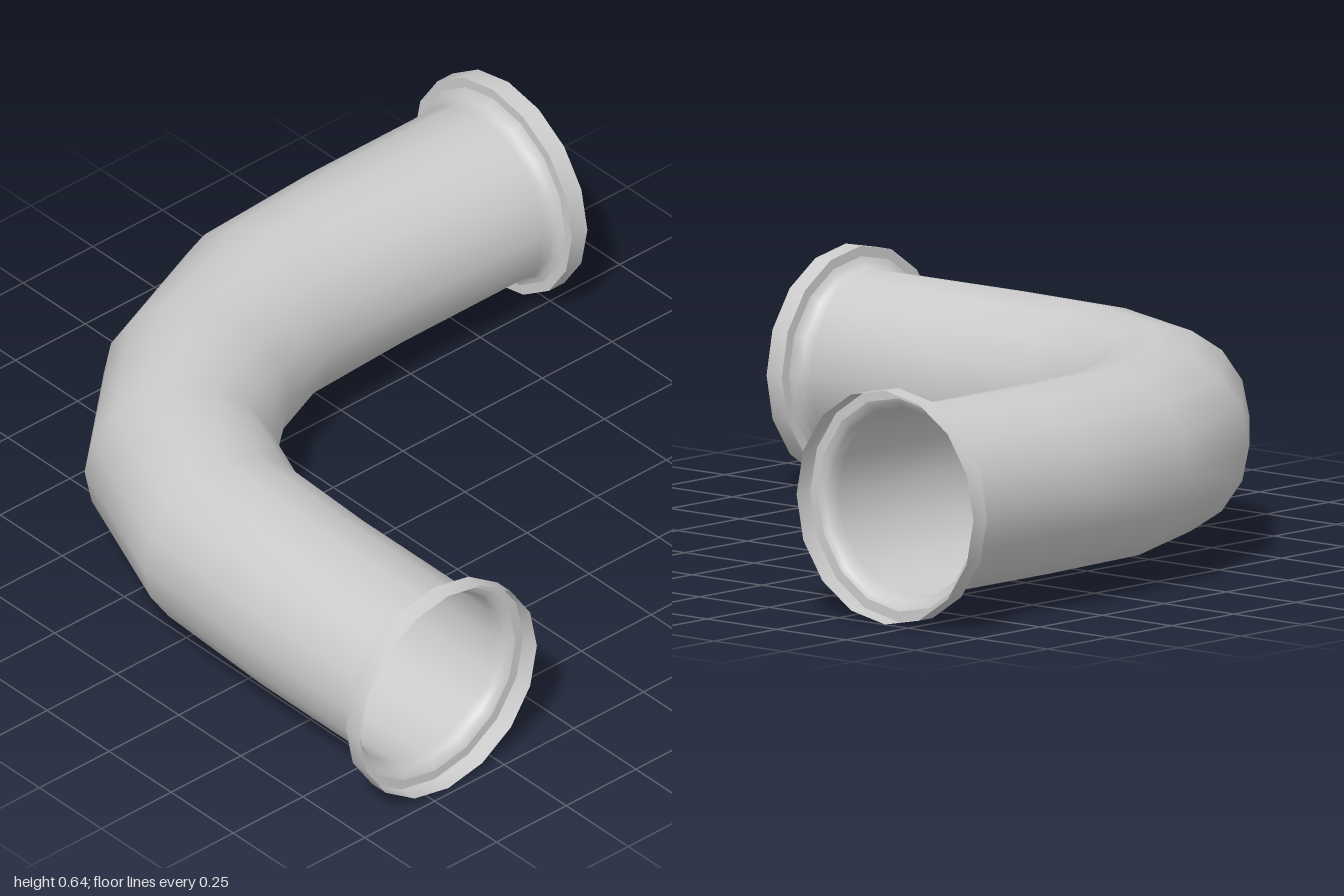
import * as THREE from 'three';

const SIDES = 16;
const CENTRE_Y = 0.318;
const LEG_X = -0.683;
const SHIFT = 0.018; // offset of the mirror line between the two legs

const material = new THREE.MeshStandardMaterial({ color: 0xcccccc, side: THREE.DoubleSide });

// A ring is { x, z, tilt, r }: centre, direction of the inside of the bend in degrees, radius.
const legRing = (z, r) => ({ x: LEG_X, z, tilt: 0, r });

// Reflects a ring across the diagonal of the elbow, onto the other leg.
const mirrorRing = ({ x, z, tilt, r }) => ({ x: z + SHIFT, z: x + SHIFT, tilt: 90 - tilt, r });

// Joins a row of rings into a smooth open tube.
function loft(name, rings) {
  const positions = [];
  const index = [];
  rings.forEach(({ x, z, tilt, r }, i) => {
    const t = THREE.MathUtils.degToRad(tilt);
    for (let j = 0; j < SIDES; j++) {
      const a = (j / SIDES) * Math.PI * 2;
      const side = r * Math.cos(a);
      positions.push(x + side * Math.cos(t), CENTRE_Y + r * Math.sin(a), z + side * Math.sin(t));
      if (i < rings.length - 1) {
        const p = i * SIDES + j;
        const q = i * SIDES + ((j + 1) % SIDES);
        index.push(p, p + SIDES, q, q, p + SIDES, q + SIDES);
      }
    }
  });
  const geometry = new THREE.BufferGeometry();
  geometry.setAttribute('position', new THREE.Float32BufferAttribute(positions, 3));
  geometry.setIndex(index);
  geometry.computeVertexNormals();
  const mesh = new THREE.Mesh(geometry, material);
  mesh.name = name;
  return mesh;
}

export function createModel() {
  const model = new THREE.Group();
  model.name = 'elbowPipe';

  // Half of the pipe: flared neck, straight leg, first half of the bend
  const half = [
    legRing(0.925, 0.29),
    legRing(0.918, 0.275),
    legRing(0.905, 0.264),
    legRing(0.875, 0.258),
    legRing(0.43, 0.258),
    { x: -0.665, z: 0.065, tilt: 10, r: 0.258 },
    { x: -0.529, z: -0.274, tilt: 34, r: 0.258 },
  ];
  model.add(loft('pipe', [...half, ...half.map(mirrorRing).reverse()]));

  // End flanges: a lip and the step that joins it to the neck, kept apart for sharp edges
  const lip = [legRing(0.98, 0.318), legRing(0.925, 0.318)];
  const step = [legRing(0.925, 0.318), legRing(0.925, 0.29)];
  const ends = [
    ['frontFlange', (rings) => rings],
    ['leftFlange', (rings) => rings.map(mirrorRing).reverse()],
  ];
  for (const [name, place] of ends) {
    const flange = new THREE.Group();
    flange.name = name;
    flange.add(loft('lip', place(lip)), loft('step', place(step)));
    model.add(flange);
  }
  return model;
}
